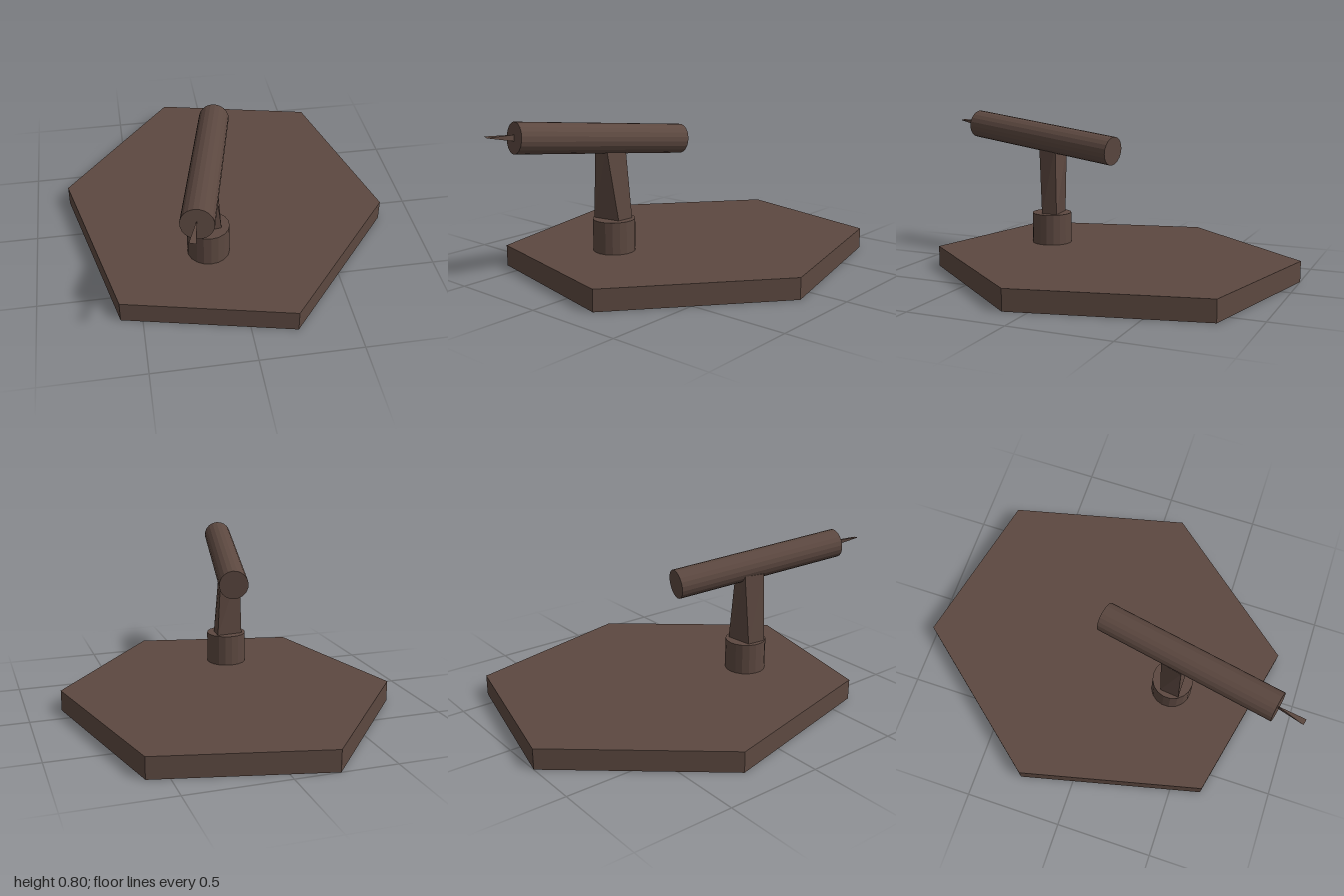
import * as THREE from 'three';

const brown = new THREE.MeshStandardMaterial({ color: 0x5c4840, flatShading: true });
brown.name = 'darkBrown';

function add(group, name, geometry) {
  const mesh = new THREE.Mesh(geometry, brown);
  mesh.name = name;
  group.add(mesh);
  return mesh;
}

// Triangles from corner points, unshared so every face stays flat
function facets(points, faces) {
  const g = new THREE.BufferGeometry();
  const pos = faces.flat().flatMap((i) => points[i]);
  g.setAttribute('position', new THREE.Float32BufferAttribute(pos, 3));
  g.computeVertexNormals();
  return g;
}

export function createModel() {
  const model = new THREE.Group();
  model.name = 'mountedBarrel';

  // Six-sided base slab
  const corners = [[-0.22, -1], [0.605, -0.81], [0.825, 0.115], [0.22, 0.845], [-0.605, 0.655], [-0.825, -0.27]];
  const outline = new THREE.Shape(corners.map(([x, z]) => new THREE.Vector2(x, -z)));
  const slab = new THREE.ExtrudeGeometry(outline, { depth: 0.107, bevelEnabled: false });
  slab.rotateX(-Math.PI / 2);
  add(model, 'base', slab);

  // Round pedestal
  const pedestal = add(model, 'pedestal', new THREE.CylinderGeometry(0.106, 0.106, 0.165, 18));
  pedestal.position.set(-0.137, 0.1875, 0.345);

  // Slightly twisted four-sided post, corners in order around the axis
  const low = [[-0.222, 0.4], [-0.075, 0.375], [-0.07, 0.285], [-0.212, 0.3]];
  const high = [[-0.216, 0.388], [-0.118, 0.41], [-0.094, 0.302], [-0.192, 0.28]];
  const postPoints = [...low.map(([x, z]) => [x, 0.268, z]), ...high.map(([x, z]) => [x, 0.64, z])];
  const postFaces = [[4, 5, 6], [4, 6, 7], [0, 2, 1], [0, 3, 2]];
  for (let i = 0; i < 4; i++) {
    const j = (i + 1) % 4;
    postFaces.push([i, j, j + 4], [i, j + 4, i + 4]);
  }
  add(model, 'post', facets(postPoints, postFaces));

  // Tilted barrel between its two end centres
  const back = new THREE.Vector3(-0.047, 0.632, -0.053);
  const front = new THREE.Vector3(-0.252, 0.727, 0.863);
  const axis = front.clone().sub(back);
  const barrel = add(model, 'barrel', new THREE.CylinderGeometry(0.075, 0.075, axis.length(), 20));
  barrel.position.copy(back).add(front).multiplyScalar(0.5);
  barrel.quaternion.setFromUnitVectors(new THREE.Vector3(0, 1, 0), axis.normalize());

  // Wedge spike: upright edge at the barrel, level edge at the tip
  const spikePoints = [[-0.252, 0.742, 0.855], [-0.252, 0.71, 0.855], [-0.303, 0.745, 0.992], [-0.272, 0.741, 1]];
  add(model, 'spike', facets(spikePoints, [[0, 2, 3], [1, 3, 2], [0, 1, 2], [0, 3, 1]]));

  return model;
}
